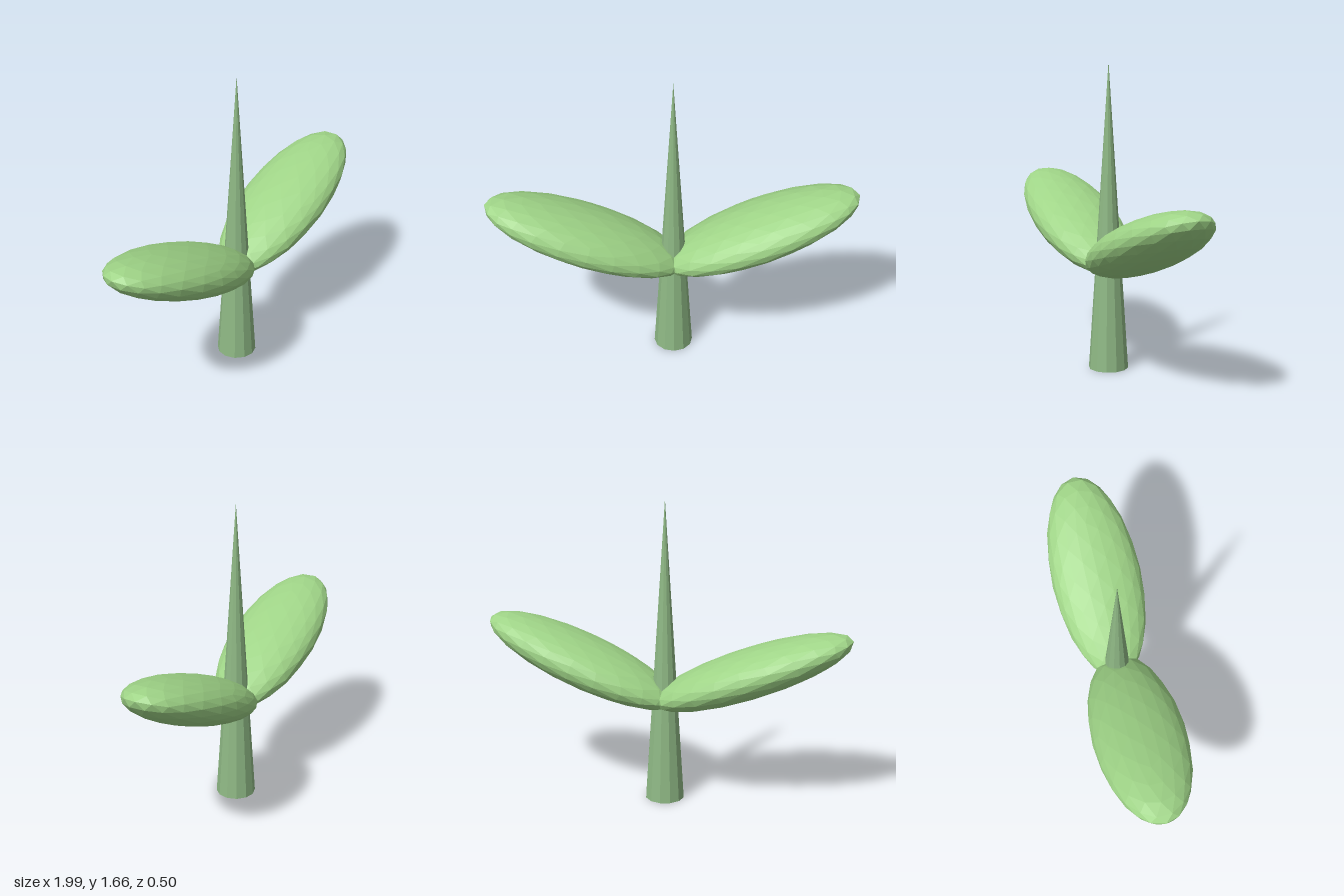
import * as THREE from 'three';

export function createModel() {
  const plant = new THREE.Group();
  plant.name = 'sprout';

  const stemGreen = new THREE.MeshStandardMaterial({ color: 0x8fb985, flatShading: true });
  stemGreen.name = 'stem green';
  const leafGreen = new THREE.MeshStandardMaterial({ color: 0x9fd487, flatShading: true });
  leafGreen.name = 'leaf green';

  // Tall tapering stem with a closed base
  const stem = new THREE.Mesh(new THREE.ConeGeometry(0.108, 1.66, 12), stemGreen);
  stem.name = 'stem';
  stem.position.y = 0.83;
  plant.add(stem);

  // Two plump leaves, flattened faceted spheres tilted upwards
  for (const side of [1, -1]) {
    const geometry = new THREE.IcosahedronGeometry(1, 3);
    geometry.scale(0.57, 0.128, 0.25);
    const leaf = new THREE.Mesh(geometry, leafGreen);
    leaf.name = side > 0 ? 'leftLeaf' : 'rightLeaf';
    leaf.position.set(side * 0.466, 0.758, 0);
    leaf.rotation.z = side * THREE.MathUtils.degToRad(21.7);
    plant.add(leaf);
  }

  return plant;
}
